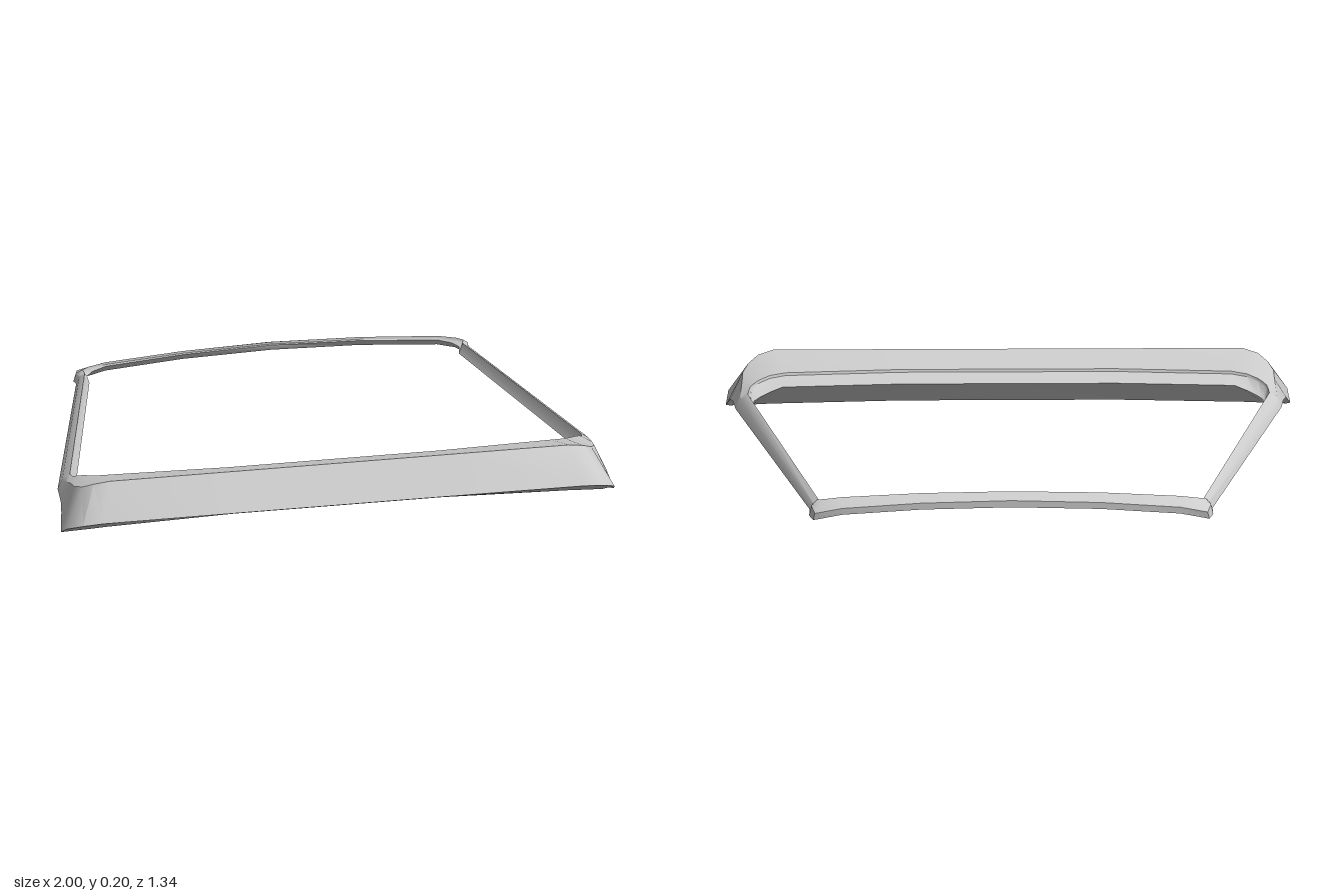
import * as THREE from 'three';
import { toCreasedNormals } from 'three/addons/utils/BufferGeometryUtils.js';

// Cross-sections of the left half, each as five x, y, z points:
// outer low edge, outer top edge, lip, inner edge, underside edge.
const FRONT = [
  [0, .07, .667, 0, .198, .59, 0, .167, .477, 0, .135, .42, 0, .018, .55],
  [.38, .07, .667, .38, .198, .59, .38, .167, .477, .38, .135, .42, .38, .018, .55],
  [.87, .069, .667, .83, .198, .59, .79, .165, .455, .80, .133, .40, .84, .007, .552],
  [.94, .06, .655, .885, .185, .575, .845, .16, .442, .84, .12, .39, .90, .004, .552],
  [.99, .035, .61, .92, .165, .545, .885, .153, .415, .88, .105, .375, .96, .002, .552],
  [1, .002, .555, .94, .15, .50, .905, .146, .395, .90, .095, .365, .985, .003, .545],
  [.985, .05, .49, .943, .14, .445, .915, .14, .385, .903, .088, .36, .97, .048, .485],
  [.975, .066, .43, .947, .127, .40, .92, .134, .37, .905, .082, .355, .955, .066, .42],
  [.968, .076, .34, .951, .112, .34, .924, .13, .34, .902, .08, .335, .92, .075, .335],
];
const REAR = [
  [.714, .073, -.585, .703, .1, -.585, .683, .112, -.585, .668, .077, -.575, .68, .073, -.575],
  [.716, .066, -.625, .708, .1, -.618, .688, .118, -.602, .672, .095, -.595, .685, .072, -.61],
  [.702, .062, -.658, .696, .09, -.664, .665, .123, -.612, .65, .105, -.61, .665, .077, -.635],
  [.60, .085, -.665, .60, .11, -.667, .60, .133, -.618, .60, .119, -.614, .60, .095, -.632],
  [.32, .105, -.668, .32, .13, -.669, .32, .15, -.624, .32, .138, -.62, .32, .115, -.635],
  [0, .113, -.669, 0, .139, -.67, 0, .157, -.627, 0, .146, -.623, 0, .122, -.638],
];

// Turns a row into six points, adding the small step under the lip.
function section(row) {
  const p = [];
  for (let i = 0; i < 15; i += 3) p.push(new THREE.Vector3(row[i], row[i + 1], row[i + 2]));
  const step = p[2].clone().lerp(p[3], .05);
  step.y -= .008;
  p.splice(3, 0, step);
  return p;
}

// The same sections on the other side, in reverse order.
const mirrored = (sections) =>
  sections.map((s) => s.map((p) => new THREE.Vector3(-p.x, p.y, p.z))).reverse();

// Joins successive sections with a closed skin.
function loft(name, sections, material) {
  const n = sections[0].length;
  const index = [];
  for (let i = 0; i < sections.length - 1; i++) {
    for (let j = 0; j < n; j++) {
      const a = i * n + j, b = i * n + (j + 1) % n;
      index.push(a, a + n, b, b, a + n, b + n);
    }
  }
  const geometry = new THREE.BufferGeometry().setFromPoints(sections.flat());
  geometry.setIndex(index);
  const mesh = new THREE.Mesh(toCreasedNormals(geometry, 0.6), material);
  mesh.name = name;
  return mesh;
}

export function createModel() {
  const group = new THREE.Group();
  group.name = 'windowFrame';
  const paint = new THREE.MeshStandardMaterial({ color: 0xcccccc, side: THREE.DoubleSide });
  paint.name = 'light grey paint';

  const front = FRONT.map(section);
  const rear = REAR.map(section);
  const post = [front[front.length - 1], rear[0]];

  // Wide front rail with flared tips
  group.add(loft('frontRail', [...mirrored(front).slice(0, -1), ...front], paint));
  // Slim side posts
  group.add(loft('leftPost', post, paint));
  group.add(loft('rightPost', mirrored(post), paint));
  // Arched rear rail with rounded corners
  group.add(loft('rearRail', [...rear, ...mirrored(rear).slice(1)], paint));
  return group;
}
